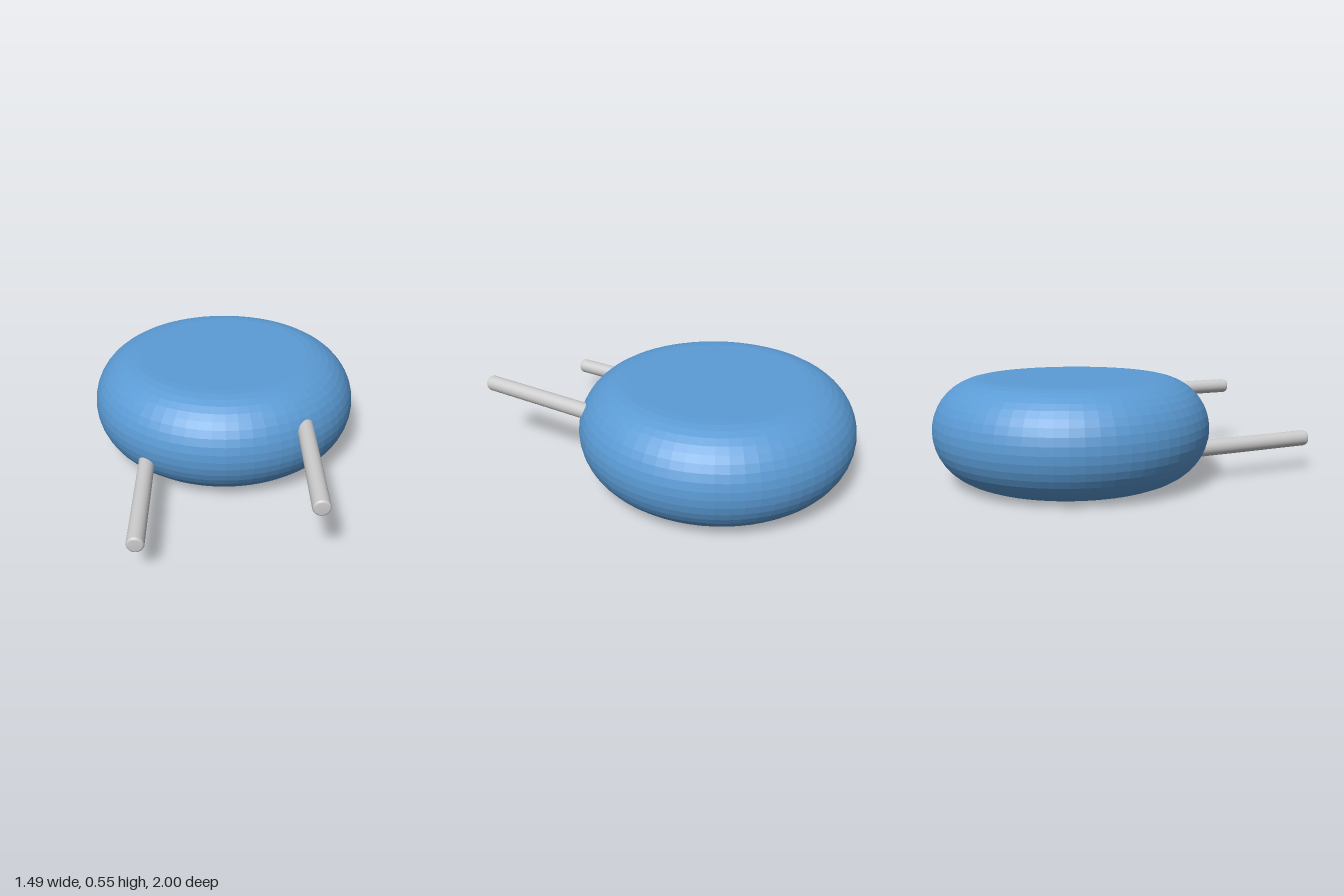
import * as THREE from 'three';

const BODY_Z = -0.255; // body axis; the pins reach forward to z = 1

// Flat-topped disc with a fully rounded rim
function makeBody() {
  const rim = 0.275, flat = 0.47, steps = 20;
  const profile = [new THREE.Vector2(0, 0)];
  for (let i = 0; i <= steps; i++) {
    const a = -Math.PI / 2 + (i / steps) * Math.PI;
    profile.push(new THREE.Vector2(flat + rim * Math.cos(a), rim + rim * Math.sin(a)));
  }
  profile.push(new THREE.Vector2(0, 2 * rim));
  const body = new THREE.Mesh(
    new THREE.LatheGeometry(profile, 64),
    new THREE.MeshStandardMaterial({ color: 0x5b9bd5, flatShading: true })
  );
  body.name = 'body';
  body.position.z = BODY_Z;
  return body;
}

// Round pin with softened ends, lying along z
function makePin(name, x, y) {
  const r = 0.043, bevel = 0.012, back = 0.2, length = 1 - back;
  const profile = [
    [0, 0], [r - bevel, 0], [r - bevel * 0.3, bevel * 0.3], [r, bevel],
    [r, length - bevel], [r - bevel * 0.3, length - bevel * 0.3], [r - bevel, length], [0, length],
  ].map(([px, py]) => new THREE.Vector2(px, py));
  const pin = new THREE.Mesh(
    new THREE.LatheGeometry(profile, 24),
    new THREE.MeshStandardMaterial({ color: 0xcccccc })
  );
  pin.name = name;
  pin.rotation.x = Math.PI / 2;
  pin.position.set(x, y, back);
  return pin;
}

export function createModel() {
  const model = new THREE.Group();
  model.name = 'discWithPins';
  model.add(
    makeBody(),
    makePin('rightLowerPin', -0.415, 0.18),
    makePin('leftUpperPin', 0.415, 0.38)
  );
  return model;
}
